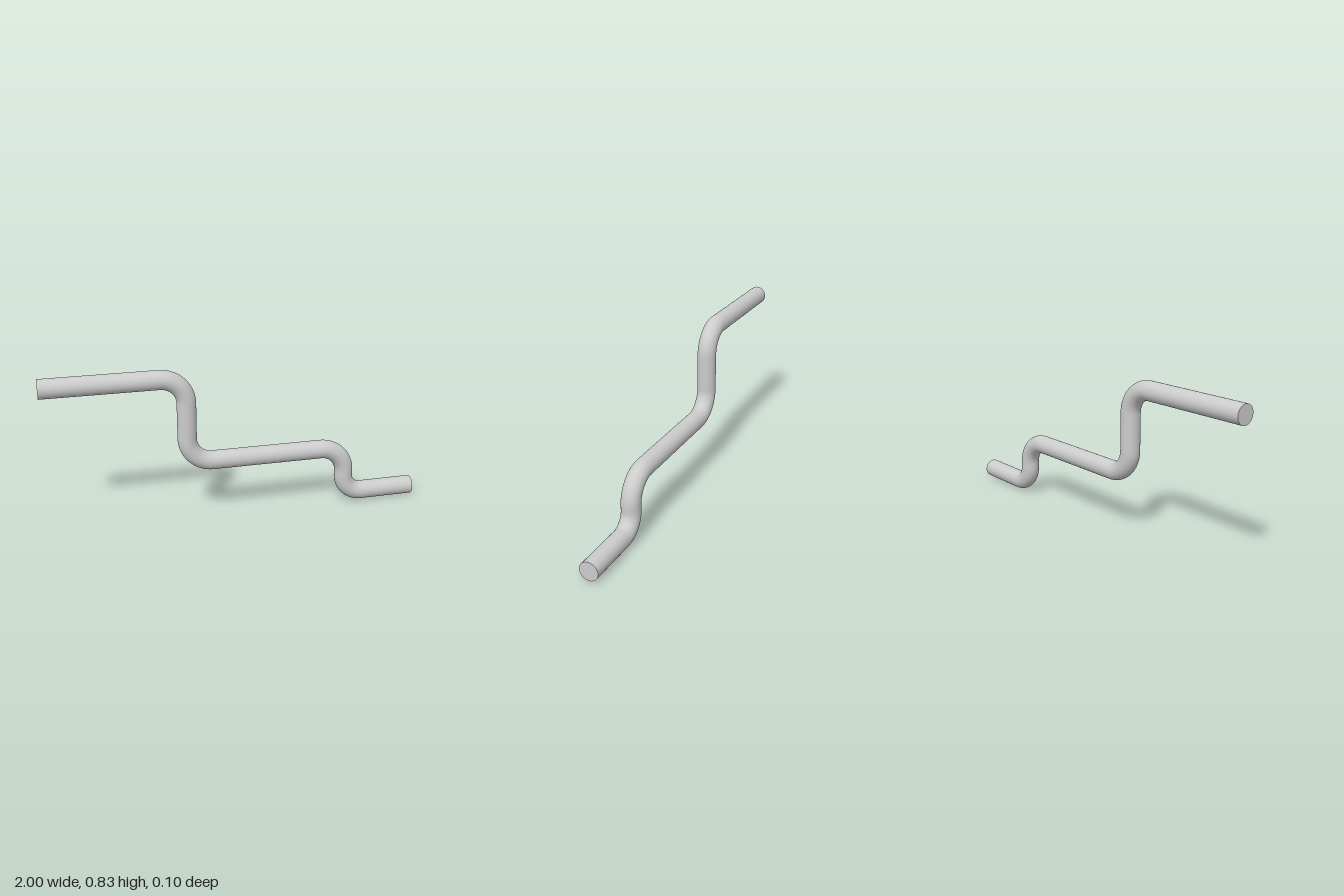
import * as THREE from 'three';

const RADIUS = 0.05;
const SIDES = 48;

// Corners of the rod's centre line: [x, y, bend radius]
const corners = [
  [-1, 0.785, 0],
  [-0.268, 0.785, 0.135],
  [-0.268, 0.32, 0.135],
  [0.6, 0.32, 0.137],
  [0.6, 0.05, 0.105],
  [1, 0.05, 0],
];

// Straight runs joined by quarter-circle bends
function centreLine() {
  const path = new THREE.CurvePath();
  const p = corners.map(([x, y]) => new THREE.Vector3(x, y, 0));
  let from = p[0];
  for (let i = 1; i < p.length - 1; i++) {
    const r = corners[i][2];
    const dirIn = p[i].clone().sub(p[i - 1]).normalize();
    const dirOut = p[i + 1].clone().sub(p[i]).normalize();
    const along = (dir, d) => p[i].clone().addScaledVector(dir, d);
    const start = along(dirIn, -r);
    const end = along(dirOut, r);
    const k = r * (1 - 0.5523); // cubic handles approximating a circular arc
    path.add(new THREE.LineCurve3(from, start));
    path.add(new THREE.CubicBezierCurve3(start, along(dirIn, -k), along(dirOut, k), end));
    from = end;
  }
  path.add(new THREE.LineCurve3(from, p[p.length - 1]));
  return path;
}

export function createModel() {
  const group = new THREE.Group();
  group.name = 'bentRod';
  const material = new THREE.MeshStandardMaterial({ color: 0xcccccc });

  // Round rod
  const rod = new THREE.Mesh(new THREE.TubeGeometry(centreLine(), 260, RADIUS, SIDES, false), material);
  rod.name = 'rod';
  group.add(rod);

  // Flat end caps
  const ends = [['upperEndCap', corners[0], -1], ['lowerEndCap', corners[corners.length - 1], 1]];
  for (const [name, [x, y], side] of ends) {
    const cap = new THREE.Mesh(new THREE.CircleGeometry(RADIUS, SIDES), material);
    cap.name = name;
    cap.position.set(x, y, 0);
    cap.rotation.y = side * Math.PI / 2;
    group.add(cap);
  }
  return group;
}
